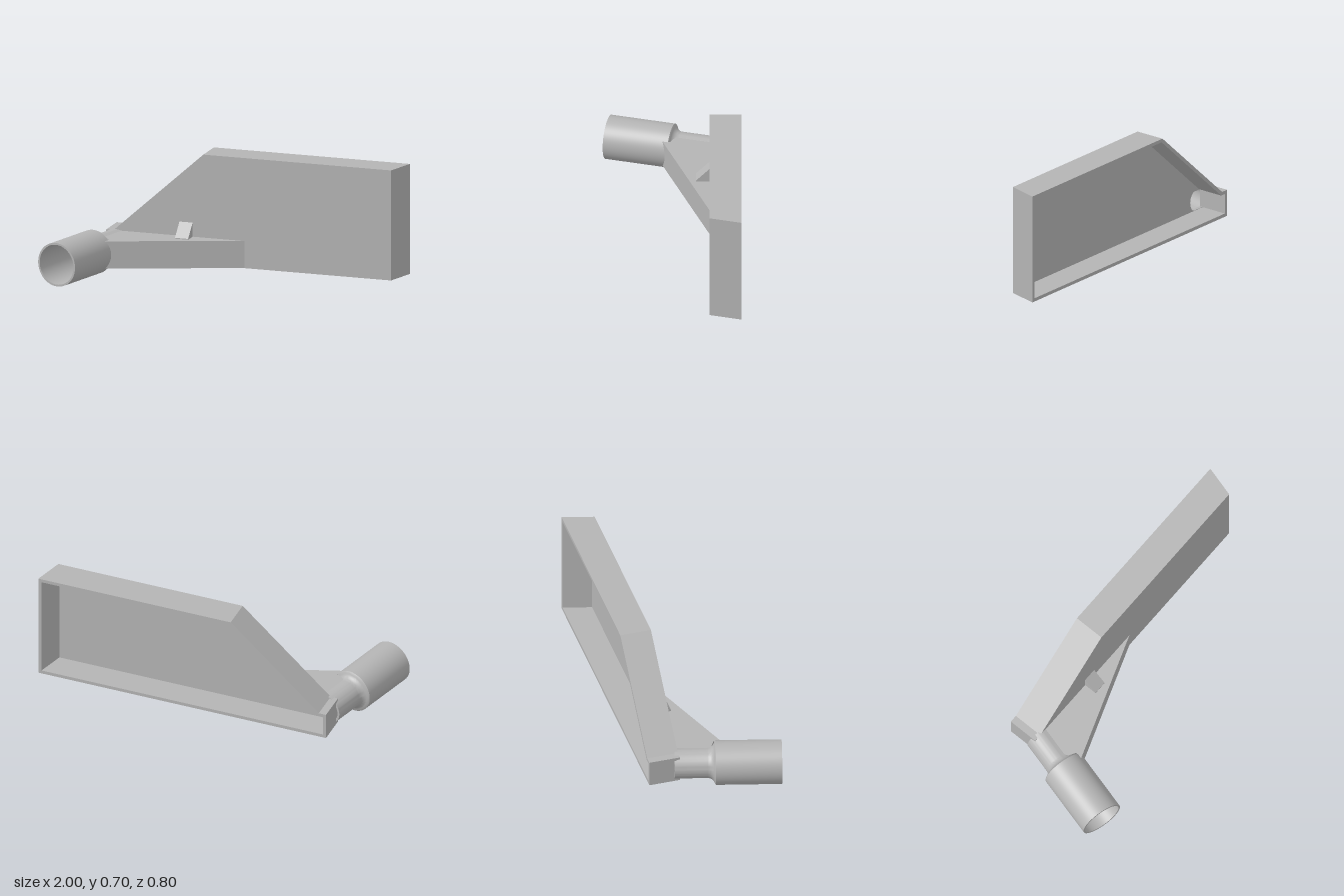
import * as THREE from 'three';
import { toCreasedNormals } from 'three/addons/utils/BufferGeometryUtils.js';

const V2 = (x, y) => new THREE.Vector2(x, y);
const grey = new THREE.MeshStandardMaterial({ color: 0xb4b4b4 });
grey.name = 'plain grey';

// Pipe frame: s runs along the axis from the open mouth, off runs sideways towards the gusset
const ANGLE = Math.PI / 12, MOUTH = V2(-0.878, 0.3625), AXIS_Y = 0.129;
const D = V2(Math.sin(ANGLE), -Math.cos(ANGLE)), N = V2(Math.cos(ANGLE), Math.sin(ANGLE));
const onPipe = (s, off) => V2(MOUTH.x + D.x * s + N.x * off, MOUTH.y + D.y * s + N.y * off);

const FRONT = -0.217, BACK = -0.4, WALL = 0.02;

function part(name, geometry) {
  const mesh = new THREE.Mesh(geometry, grey);
  mesh.name = name;
  return mesh;
}

// Extrude between two depths, raking the far end outward towards the back
function slab(shape, z0, z1) {
  const g = new THREE.ExtrudeGeometry(shape, { depth: z1 - z0, bevelEnabled: false });
  g.translate(0, 0, z0);
  const p = g.attributes.position;
  for (let i = 0; i < p.count; i++) {
    if (p.getX(i) > 0.9) p.setX(i, p.getX(i) + (FRONT - p.getZ(i)) * 0.05 / (FRONT - BACK));
  }
  g.computeVertexNormals();
  return g;
}

function outline() {
  return new THREE.Shape([V2(-0.78, 0.05), V2(0.95, 0.05), V2(0.95, 0.7),
    V2(-0.19, 0.7), V2(-0.735, 0.21), V2(-0.78, 0.21)]);
}

// Stepped tube with a concave shoulder and an open bore
function pipeGeometry() {
  const pts = [V2(0.117, 0), V2(0.128, 0), V2(0.128, 0.38)];
  for (let i = 1; i <= 8; i++) {
    const a = i / 8 * Math.PI / 2;
    pts.push(V2(0.128 - 0.04 * Math.sin(a), 0.385 + 0.042 * (1 - Math.cos(a))));
  }
  pts.push(V2(0.088, 0.616), V2(0.075, 0.616), V2(0.075, 0.38), V2(0.117, 0.37), V2(0.117, 0));
  const g = toCreasedNormals(new THREE.LatheGeometry(pts, 64), 0.5);
  g.applyQuaternion(new THREE.Quaternion().setFromUnitVectors(
    new THREE.Vector3(0, 1, 0), new THREE.Vector3(D.x, 0, D.y)));
  g.translate(MOUTH.x, AXIS_Y, MOUTH.y);
  return g;
}

// Wedge-shaped rib whose inner end follows the round pipe, stacked in level sections
function gussetGeometry() {
  const rows = 12, pos = [], idx = [], tip = V2(0.06, FRONT), F = V2(-0.74, 0.265);
  const reach = tip.clone().sub(MOUTH).dot(N);
  for (let i = 0; i <= rows; i++) {
    const y = 0.05 + 0.16 * i / rows, dy = y - AXIS_Y;
    const big = Math.sqrt(0.125 ** 2 - dy * dy);
    const small = Math.sqrt(Math.max(0.085 ** 2 - dy * dy, 0));
    const t = (reach - big) / -F.dot(N);
    const section = [tip, V2(tip.x + F.x * t, tip.y + F.y * t), onPipe(0.39, big),
      onPipe(0.41, small), onPipe((MOUTH.y - FRONT + N.y * small) / -D.y, small)];
    for (const p of section) pos.push(p.x, y, p.y);
  }
  for (let i = 0; i < rows; i++) {
    for (let j = 0; j < 5; j++) {
      const a = i * 5 + j, b = i * 5 + (j + 1) % 5;
      idx.push(a, a + 5, b, b, a + 5, b + 5);
    }
  }
  const top = rows * 5;
  // Fan from the tip closes both ends
  for (let j = 1; j < 4; j++) {
    idx.push(0, j, j + 1, top, top + j + 1, top + j);
  }
  const g = new THREE.BufferGeometry();
  g.setAttribute('position', new THREE.Float32BufferAttribute(pos, 3));
  g.setIndex(idx);
  // Face the outside whichever way the sections wind
  const area = signedVolume(pos, idx);
  if (area < 0) g.setIndex(flip(idx));
  return toCreasedNormals(g, 0.5);
}

function signedVolume(pos, idx) {
  const at = (i) => new THREE.Vector3().fromArray(pos, i * 3);
  let v = 0;
  for (let i = 0; i < idx.length; i += 3) {
    v += at(idx[i]).dot(at(idx[i + 1]).cross(at(idx[i + 2])));
  }
  return v;
}

function flip(idx) {
  const out = [];
  for (let i = 0; i < idx.length; i += 3) out.push(idx[i], idx[i + 2], idx[i + 1]);
  return out;
}

export function createModel() {
  const model = new THREE.Group();
  model.name = 'wallOutletDuct';

  // Surrounding walls, open at the back
  const rim = outline();
  rim.holes.push(new THREE.Path([V2(-0.76, 0.07), V2(-0.76, 0.19), V2(-0.727, 0.19),
    V2(-0.182, 0.68), V2(0.93, 0.68), V2(0.93, 0.07)]));
  model.add(part('housingWalls', slab(rim, BACK, FRONT - WALL)));

  // Front panel with the port into the pipe, kept inside the walls
  const panel = outline(), port = [];
  const centre = onPipe((MOUTH.y - FRONT) / -D.y, 0);
  for (let i = 0; i < 32; i++) {
    const a = -i / 32 * Math.PI * 2;
    port.push(V2(Math.max(centre.x + 0.077 * Math.cos(a), -0.758),
      THREE.MathUtils.clamp(AXIS_Y + 0.075 * Math.sin(a), 0.072, 0.188)));
  }
  const clean = port.filter((p, i) => p.distanceTo(port[(i + 31) % 32]) > 1e-4);
  panel.holes.push(new THREE.Path(clean));
  model.add(part('frontPanel', slab(panel, FRONT - WALL, FRONT)));

  model.add(part('pipe', pipeGeometry()));
  model.add(part('gusset', gussetGeometry()));

  // Small ramp-shaped catch above the gusset
  const ramp = new THREE.Shape([V2(0, 0), V2(0.078, 0), V2(0.078, 0.005), V2(0, 0.083)]);
  const catchGeometry = new THREE.ExtrudeGeometry(ramp, { depth: 0.08, bevelEnabled: false });
  catchGeometry.rotateY(-Math.PI / 2);
  catchGeometry.translate(-0.255, 0.21, FRONT);
  model.add(part('catch', catchGeometry));

  return model;
}
